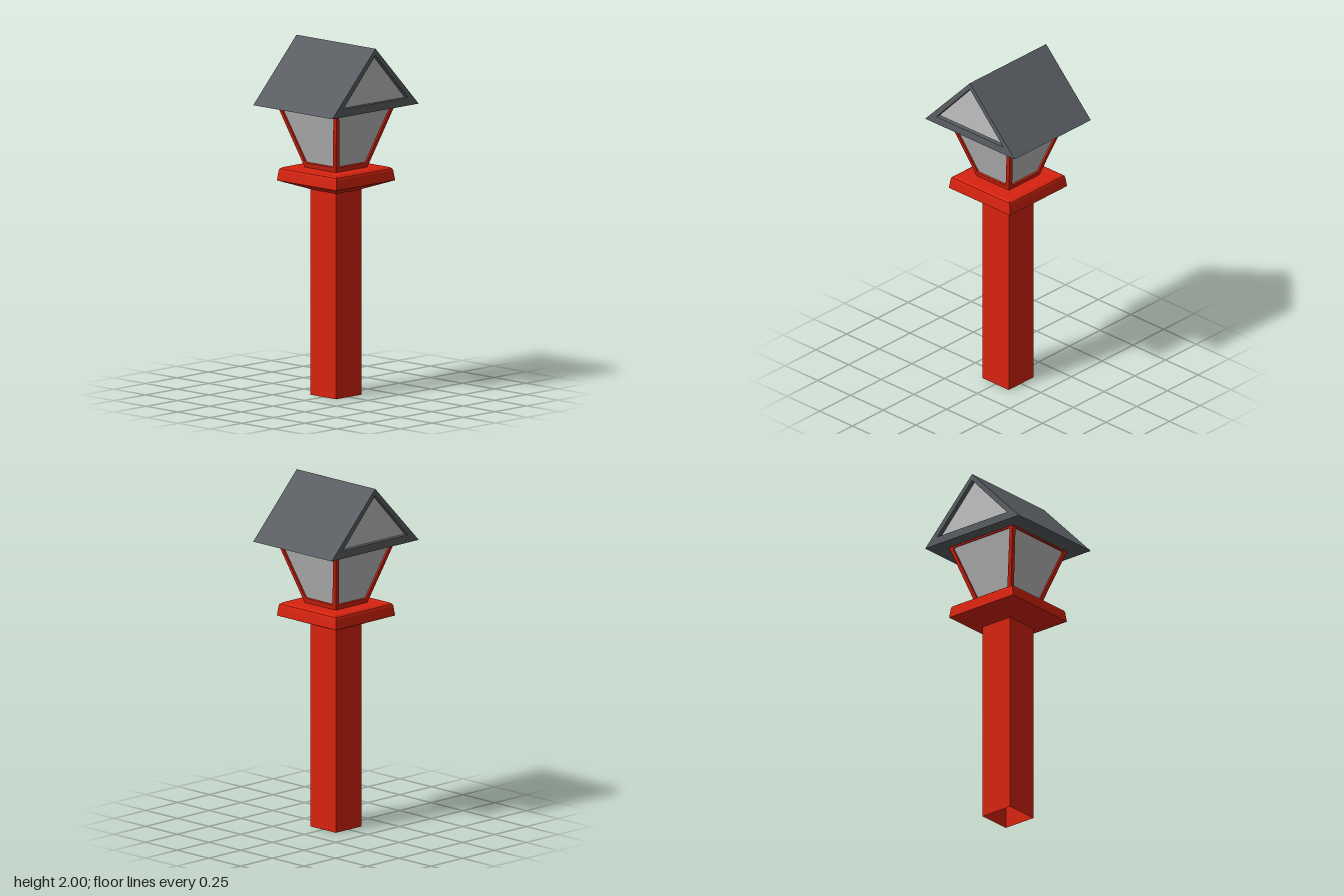
import * as THREE from 'three';

const red = new THREE.MeshStandardMaterial({ color: 0xd8230f, side: THREE.DoubleSide });
red.name = 'redPaint';
const slate = new THREE.MeshStandardMaterial({ color: 0x5a5e63 });
slate.name = 'slateGrey';
const glass = new THREE.MeshStandardMaterial({ color: 0xc0c0c0, side: THREE.DoubleSide });
glass.name = 'frostedGlass';

function mesh(name, geometry, material) {
  const m = new THREE.Mesh(geometry, material);
  m.name = name;
  return m;
}

// Square-section solid from [half width, y] steps, bottom to top
function squareLathe(profile) {
  const points = profile.map(([h, y]) => new THREE.Vector2(h * Math.SQRT2, y));
  const g = new THREE.LatheGeometry(points, 4, Math.PI / 4).toNonIndexed();
  g.computeVertexNormals();
  return g;
}

const outline = pts => pts.map(([x, y]) => new THREE.Vector2(x, y));

function framed(outer, inner, depth) {
  const shape = new THREE.Shape(outline(outer));
  shape.holes.push(new THREE.Path(outline(inner)));
  return new THREE.ExtrudeGeometry(shape, { depth, bevelEnabled: false });
}

export function createModel() {
  const model = new THREE.Group();
  model.name = 'lampPost';

  // Hollow post and flared collar
  model.add(mesh('post', squareLathe([[0.1, 0], [0.1, 1.18]]), red));
  model.add(mesh('collar', squareLathe([
    [0.1, 1.165], [0.233, 1.215], [0.226, 1.27], [0.222, 1.282], [0.21, 1.29], [0, 1.29],
  ]), red));

  // Four leaning lantern sides, each a frame around a recessed pane
  const y0 = 1.288, y1 = 1.647, h0 = 0.123, h1 = 0.234;
  const lean = Math.atan2(h1 - h0, y1 - y0);
  const up = y => (y - y0) / Math.cos(lean);
  const opening = [
    [-0.1, up(1.318)], [0.1, up(1.318)], [0.109, up(1.326)], [0.205, up(1.628)],
    [0.199, up(1.636)], [-0.199, up(1.636)], [-0.205, up(1.628)], [-0.109, up(1.326)],
  ];
  const sideFrame = framed(
    [[-h0, 0], [h0, 0], [h1, up(y1)], [-h1, up(y1)]], opening, 0.014);
  sideFrame.translate(0, 0, -0.014);
  const pane = new THREE.ShapeGeometry(new THREE.Shape(outline(opening)));
  pane.translate(0, 0, -0.01);
  for (const g of [sideFrame, pane]) g.rotateX(lean).translate(0, y0, h0);

  const lantern = new THREE.Group();
  lantern.name = 'lantern';
  for (let i = 0; i < 4; i++) {
    const side = new THREE.Group();
    side.name = 'lanternSide';
    side.add(mesh('lanternFrame', sideFrame, red), mesh('lanternPane', pane, glass));
    side.rotation.y = i * Math.PI / 2;
    lantern.add(side);
  }
  model.add(lantern);

  // Gabled roof with its ridge along x
  const gable = [[-0.255, 1.69], [0.255, 1.69], [0, 1.962]];
  const roof = framed([[-0.342, 1.645], [0.342, 1.645], [0, 2]], gable, 0.62);
  roof.translate(0, 0, -0.31).rotateY(Math.PI / 2);
  model.add(mesh('roof', roof, slate));

  // Recessed panes in both gable ends
  for (const s of [1, -1]) {
    const p = mesh('gablePane', new THREE.ShapeGeometry(new THREE.Shape(outline(gable))), glass);
    p.position.x = s * 0.285;
    p.rotation.y = s * Math.PI / 2;
    model.add(p);
  }
  return model;
}
